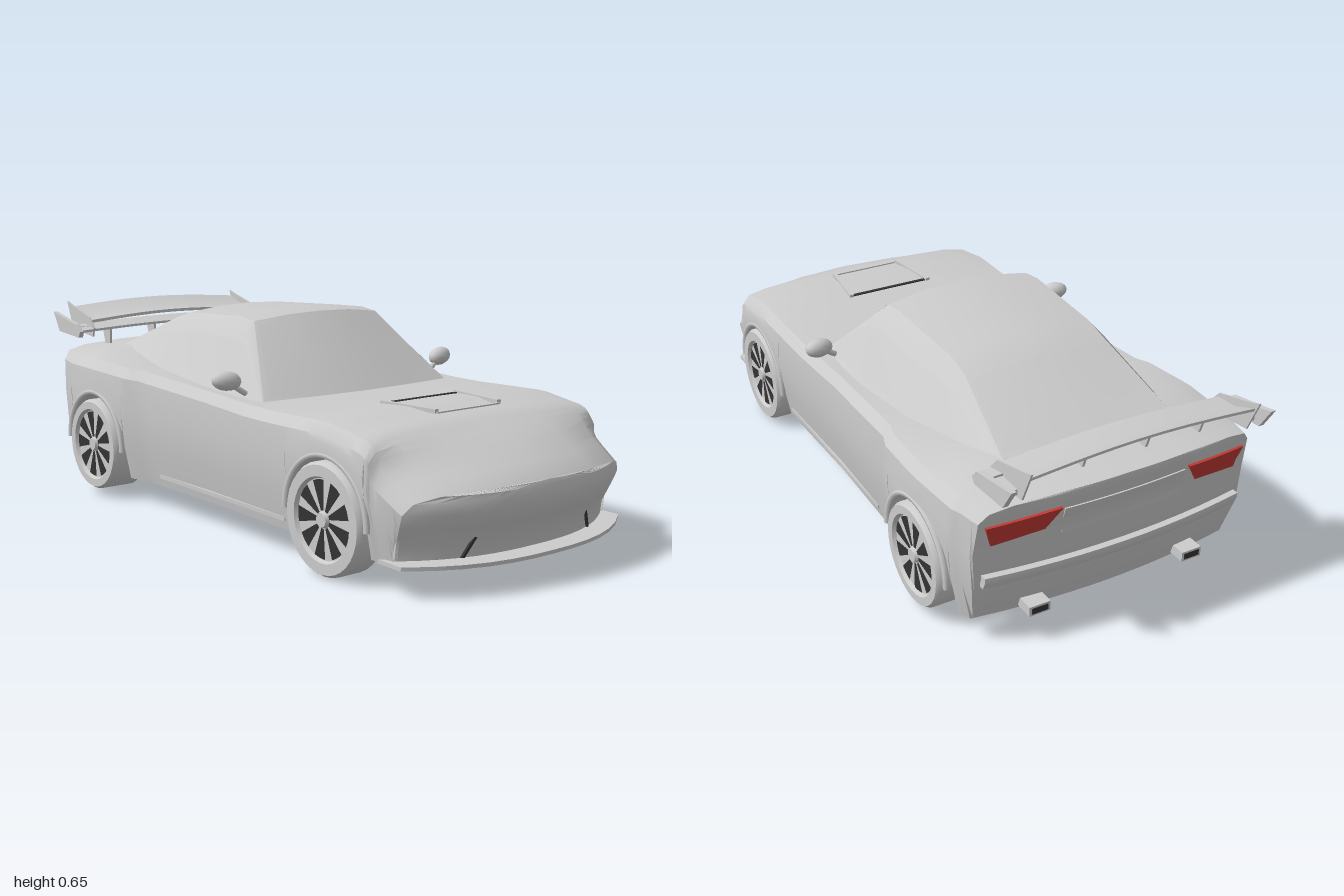
import * as THREE from 'three';
import { toCreasedNormals } from 'three/addons/utils/BufferGeometryUtils.js';

const grey = new THREE.MeshStandardMaterial({ color: 0xcccccc, side: THREE.DoubleSide });
const dark = new THREE.MeshStandardMaterial({ color: 0x333333, side: THREE.DoubleSide });
const red = new THREE.MeshStandardMaterial({ color: 0xc03a35 });
const mix = THREE.MathUtils.lerp, smooth = THREE.MathUtils.smoothstep;

// piecewise linear lookup in a list of [key, value], keys ascending
function look(table, k) {
  if (k <= table[0][0]) return table[0][1];
  for (let i = 1; i < table.length; i++) {
    const [a, va] = table[i - 1], [b, vb] = table[i];
    if (k <= b) return mix(va, vb, (k - a) / (b - a));
  }
  return table[table.length - 1][1];
}

// body outline along z: half width, centre height, shoulder height
const HALF = [[-.93, .435], [-.8, .46], [-.6, .475], [-.42, .465], [-.37, .446], [0, .436], [.57, .446], [.75, .444], [.9, .435], [.985, .42]];
const TOP = [[-.93, .472], [-.7, .488], [-.6, .475], [-.4, .45], [0, .415], [.24, .412], [.4, .42], [.57, .43], [.72, .412], [.85, .362], [.93, .318], [.985, .28]];
const SHOULDER = [[-.93, .45], [-.6, .45], [-.4, .44], [.24, .408], [.57, .415], [.72, .392], [.85, .335], [.93, .288], [.985, .25]];
// side fullness, nose and tail profiles by height
const SIDE = [[.08, .93], [.2, .98], [.3, 1], [.45, .985]];
const NOSE = [[.08, .93], [.16, .94], [.195, .985], [.26, .985], [.29, .975]];
const TAIL = [[.08, -.86], [.11, -.86], [.24, -.915], [.35, -.9], [.455, -.93]];
const noseWrap = x => .13 * Math.pow(Math.abs(x) / .42, 2.5);
const tailWrap = x => .04 * Math.pow(x / .44, 2);
const noseSkin = (x, y) => look(NOSE, y) - noseWrap(x);
const tailSkin = (x, y) => look(TAIL, y) + tailWrap(x);

const WHEELS = [{ z: .58, y: .157, r: .157, w: .1 }, { z: -.61, y: .17, r: .15, w: .13 }];
const ARCH = .17;

function mesh(parent, name, geo, mat = grey) {
  const m = new THREE.Mesh(geo, mat);
  m.name = name;
  parent.add(m);
  return m;
}

// surface through rows of points
function grid(rows, crease = .5) {
  const n = rows[0].length, index = [];
  for (let i = 0; i < rows.length - 1; i++) for (let j = 0; j < n - 1; j++) {
    const a = i * n + j, b = a + 1, d = a + n, c = d + 1;
    index.push(a, d, b, b, d, c);
  }
  const g = new THREE.BufferGeometry();
  g.setAttribute('position', new THREE.Float32BufferAttribute(rows.flat(2), 3));
  g.setIndex(index);
  return toCreasedNormals(g, crease);
}
const mirrored = half => [...half, ...half.slice(0, -1).reverse().map(([x, y, z]) => [-x, y, z])];

// half cross-section of the body, wheel wells included
function section(z) {
  let arch = .08;
  for (const w of WHEELS) {
    const d = Math.abs(z - w.z);
    if (d <= ARCH + 1e-6) arch = w.y + Math.sqrt(Math.max(0, ARCH * ARCH - d * d));
  }
  const hw = look(HALF, z), top = look(TOP, z), sh = look(SHOULDER, z);
  const side = t => { const y = mix(arch, sh - .03, t); return [hw * look(SIDE, y), y]; };
  return [[0, .08], [.33, .08], [.33, arch], side(0), side(.35), side(.7), [hw * .985, sh - .03],
    [hw * .93, sh], [hw * .78, mix(sh, top, .6)], [hw * .4, mix(sh, top, .93)], [0, top]];
}

function addBody(car) {
  const zs = [.985, .96, .93, .9, .86, .82, .78, .4, .3, .2, .1, 0, -.1, -.2, -.3, -.37, -.42, -.79, -.82, -.86, -.9, -.93];
  for (const w of WHEELS) {
    for (let i = 0; i <= 14; i++) zs.push(w.z + ARCH * Math.cos(i * Math.PI / 14));
    zs.push(w.z + ARCH + .001, w.z - ARCH - .001);
  }
  zs.sort((a, b) => b - a);
  const rows = zs.map(z => mirrored(section(z).map(([x, y]) => [x, y,
    Math.max(Math.min(z, look(NOSE, y)), look(TAIL, y)) - noseWrap(x) * smooth(z, .72, .93)
      + tailWrap(x) * smooth(-z, .78, .86)])));
  mesh(car, 'body', grid(rows));
  const cap = (z, skin, dir) => grid(section(z).slice(3).map(([x, y]) =>
    Array.from({ length: 17 }, (_, k) => { const px = dir * x * (1 - k / 8); return [px, y, skin(px, y)]; })));
  mesh(car, 'noseFace', cap(.985, noseSkin, 1));
  mesh(car, 'tailFace', cap(-.93, tailSkin, -1));
}

// cabin stations: roof z, y, half width; base z, y, half width; edge rounding
const CABIN = [
  [.235, .408, .355, .19, .395, .375, 0], [.01, .637, .24, .05, .4, .385, 1], [-.08, .646, .24, -.1, .41, .385, 1],
  [-.38, .632, .23, -.38, .425, .365, 1], [-.46, .608, .23, -.52, .435, .34, .9], [-.74, .482, .27, -.74, .445, .3, .3]];
const cabinRows = CABIN.map(([zt, yt, xt, zb, yb, xb, e], i) => {
  const bow = i < 2 ? .035 - .015 * i : 0;
  return mirrored([[xb, yb, zb], [mix(xt, xb, .28), yt - .06 * e, mix(zt - bow, zb, .2)], [xt, yt - .018 * e, zt - bow],
    [xt * .5, yt - .004 * e, zt - bow * .3], [0, yt, zt]]);
});
// point on the cabin, u along stations, v across, pushed slightly outward
function cabinPoint(u, v) {
  const i = Math.min(Math.floor(u), 4), j = Math.min(Math.floor(v), 7);
  const p = (a, b) => new THREE.Vector3(...cabinRows[a][b]);
  const q = p(i, j).lerp(p(i, j + 1), v - j).lerp(p(i + 1, j).lerp(p(i + 1, j + 1), v - j), u - i);
  const c = new THREE.Vector3(0, .4, -.2);
  return q.sub(c).multiplyScalar(1.008).add(c).toArray();
}
const pane = (us, vs) => grid(us.map(u => vs.map(v => cabinPoint(u, v))));

function addCabin(car) {
  mesh(car, 'cabin', grid(cabinRows));
  mesh(car, 'windshield', pane([.04, .5, .94], [2.1, 3, 4, 5, 5.9]));
  mesh(car, 'rearWindow', pane([4.06, 4.5, 4.92], [2.1, 3, 4, 5, 5.9]));
  mesh(car, 'leftSideWindow', pane([.35, 1, 2, 3, 4, 4.6], [.2, .9]));
  mesh(car, 'rightSideWindow', pane([.35, 1, 2, 3, 4, 4.6], [7.1, 7.8]));
}

// plate following the nose or tail; corners run anticlockwise from lower -x
function plate(car, name, skin, [a, b, c, d], depth, offset = 0, mat = grey) {
  const g = new THREE.BoxGeometry(1, 1, depth, 12, 3, 1), p = g.attributes.position;
  for (let i = 0; i < p.count; i++) {
    const u = p.getX(i) + .5, v = p.getY(i) + .5;
    const x = mix(mix(a[0], b[0], u), mix(d[0], c[0], u), v), y = mix(mix(a[1], b[1], u), mix(d[1], c[1], u), v);
    p.setXYZ(i, x, y, skin(x, y) + p.getZ(i) + offset);
  }
  mesh(car, name, toCreasedNormals(g, .5), mat);
}
const rect = (x0, x1, y0, y1) => [[x0, y0], [x1, y0], [x1, y1], [x0, y1]];
const flip = q => [q[1], q[0], q[3], q[2]].map(([x, y]) => [-x, y]);

function box(parent, name, w, h, d, x, y, z, mat) {
  const m = mesh(parent, name, new THREE.BoxGeometry(w, h, d), mat);
  m.position.set(x, y, z);
  return m;
}

function addEnds(car) {
  plate(car, 'splitter', noseSkin, rect(-.42, .42, .08, .091), .09, .02);
  plate(car, 'grilleTop', noseSkin, rect(-.4, .4, .16, .166), .012);
  plate(car, 'grilleTrim', noseSkin, rect(-.205, .205, .154, .16), .014, 0, dark);
  plate(car, 'plateRecess', tailSkin, rect(-.19, .19, .33, .41), .012);
  plate(car, 'rearBumper', tailSkin, rect(-.41, .41, .21, .25), .02);
  for (const s of [1, -1]) {
    const put = (name, skin, q, ...rest) => plate(car, name, skin, s > 0 ? q : flip(q), ...rest);
    put('grilleStrut', noseSkin, [[.238, .092], [.246, .092], [.209, .16], [.201, .16]], .014, 0, dark);
    put('intakeEnd', noseSkin, rect(.396, .402, .095, .165), .012);
    put('tailLight', tailSkin, [[.24, .355], [.39, .34], [.41, .405], [.2, .42]], .02, 0, red);
    // exhaust pipes
    const pipe = box(car, 'exhaust', .065, .03, .08, s * .25, .105, -.865);
    box(pipe, 'exhaustOpening', .05, .018, .002, 0, 0, -.041, dark);
  }
}

function addWheel(car, { z, y, r, w }, s) {
  const wheel = new THREE.Group();
  wheel.name = (s > 0 ? 'left' : 'right') + (z > 0 ? 'Front' : 'Rear') + 'Wheel';
  wheel.position.set(s * .35, y, z);
  wheel.rotation.z = -s * Math.PI / 2;
  const profile = [[0, 0], [r * .95, 0], [r, .012], [r, w - .012], [r * .95, w], [.118, w], [.112, w - .012], [0, w - .012]];
  mesh(wheel, 'tyre', toCreasedNormals(new THREE.LatheGeometry(profile.map(p => new THREE.Vector2(...p)), 32), .6));
  for (let i = 0; i < 9; i++) {
    const gap = new THREE.RingGeometry(.025, .109, 4, 1, i * Math.PI * 2 / 9, .42).rotateX(-Math.PI / 2);
    mesh(wheel, 'spokeGap', gap, dark).position.y = w - .009;
  }
  mesh(wheel, 'hub', new THREE.CylinderGeometry(.02, .024, .012, 16)).position.y = w - .006;
  car.add(wheel);
  // raised lip around the wheel arch
  const lip = mesh(car, 'archLip', new THREE.TorusGeometry(ARCH + .004, .009, 6, 28, Math.PI));
  lip.rotation.y = Math.PI / 2;
  lip.position.set(s * (look(HALF, z) - .008), y, z);
}

// wing blade from a z/y outline, raised in the middle
function blade(parent, name, half, outline, bow) {
  const n = 14, rows = outline.concat([outline[0]]).map(([z, y]) => Array.from({ length: n + 1 }, (_, k) => {
    const x = half * (1 - 2 * k / n);
    return [x, y + bow * Math.cos(x / half * Math.PI / 2), z];
  }));
  mesh(parent, name, grid(rows));
}

function addWing(car) {
  const wing = new THREE.Group();
  wing.name = 'rearWing';
  blade(wing, 'mainBlade', .345, [[-.84, .555], [-.91, .56], [-.985, .59], [-.985, .582], [-.91, .548], [-.84, .545]], .018);
  blade(wing, 'lowerBlade', .395, [[-.81, .525], [-.87, .54], [-.87, .528], [-.81, .517]], .012);
  const endShape = new THREE.Shape([[.82, .5], [.96, .515], [1, .61], [.97, .6], [.84, .565], [.81, .53]].map(p => new THREE.Vector2(...p)));
  const strutShape = new THREE.Shape([[.82, .46], [.85, .46], [.88, .55], [.82, .53]].map(p => new THREE.Vector2(...p)));
  const fin = (name, shape, x, t, tall = 1) => {
    const f = mesh(wing, name, new THREE.ExtrudeGeometry(shape, { depth: t, bevelEnabled: false }).translate(0, 0, -t / 2));
    f.rotation.y = Math.PI / 2;
    f.scale.y = tall;
    f.position.set(x, .5 * (1 - tall), 0);
    return f;
  };
  for (const s of [1, -1]) {
    fin('innerEndPlate', endShape, s * .349, .006);
    fin('outerEndPlate', endShape, s * .398, .016, .68).rotation.z = 0;
    box(wing, 'sideWinglet', .05, .016, .1, s * .372, .527, -.89);
    for (const x of [.28, .1]) fin('wingStrut', strutShape, s * x, .008);
  }
  car.add(wing);
}

function addTrim(car) {
  for (const s of [1, -1]) {
    // door mirror
    const head = mesh(car, 'mirrorHead', new THREE.SphereGeometry(1, 14, 8));
    head.scale.set(.047, .029, .028);
    head.position.set(s * .423, .468, .105);
    head.rotation.set(0, s * .2, s * .1);
    const arm = new THREE.LineCurve3(new THREE.Vector3(s * .355, .42, .12), new THREE.Vector3(s * .405, .455, .108));
    mesh(car, 'mirrorArm', new THREE.TubeGeometry(arm, 1, .009, 6));
    box(car, 'sideSkirt', .012, .012, .66, s * .415, .113, .05);
    // hood vent edge
    const rail = box(car, 'ventEdge', .014, .012, .2, s * .132, .426, .57);
    rail.rotation.y = -s * .12;
  }
  box(car, 'ventOpening', .27, .012, .012, 0, .421, .48, dark);
  box(car, 'ventFrontLip', .24, .004, .008, 0, .422, .67);
}

export function createModel() {
  const car = new THREE.Group();
  car.name = 'sportsCar';
  addBody(car);
  addCabin(car);
  addEnds(car);
  for (const w of WHEELS) for (const s of [1, -1]) addWheel(car, w, s);
  addWing(car);
  addTrim(car);
  return car;
}
